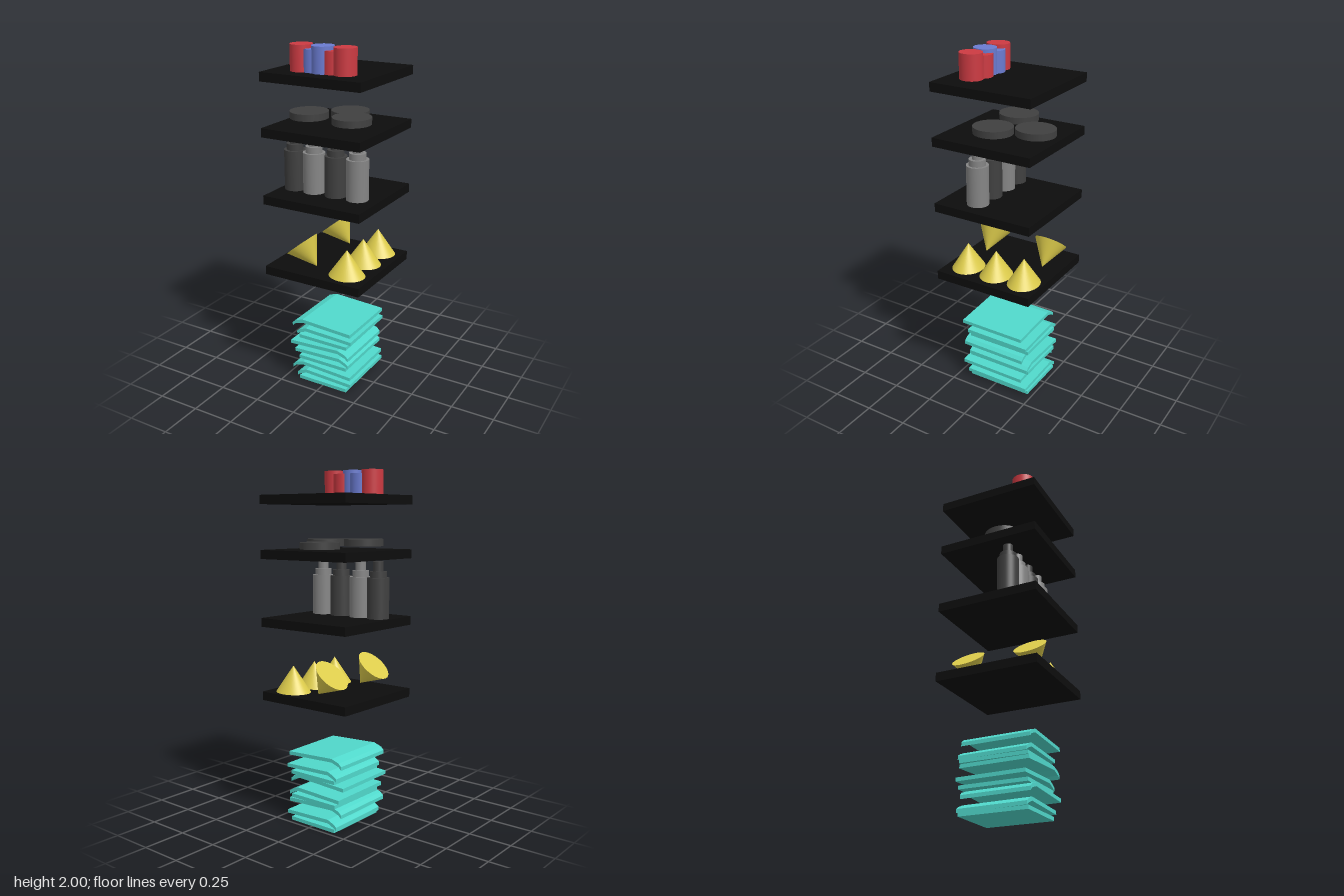
import * as THREE from 'three';

const mat = (name, color) => {
  const m = new THREE.MeshStandardMaterial({ color });
  m.name = name;
  return m;
};

export function createModel() {
  const black = mat('shelfBlack', 0x0d0d0d);
  const red = mat('canRed', 0xcc3a42);
  const blue = mat('canBlue', 0x6a7bd0);
  const dark = mat('darkGrey', 0x404040);
  const grey = mat('lightGrey', 0x858585);
  const yellow = mat('coneYellow', 0xdccb4b);
  const teal = mat('clothTeal', 0x50d8cb);

  const model = new THREE.Group();
  model.name = 'stockedShelves';
  const add = (name, geo, material, x, y, z, parent = model) => {
    const mesh = new THREE.Mesh(geo, material);
    mesh.name = name;
    mesh.position.set(x, y, z);
    parent.add(mesh);
    return mesh;
  };
  // Upright drum with elliptical plan, origin at its base
  const drum = (rx, rz, h) =>
    new THREE.CylinderGeometry(1, 1, h, 48).scale(rx, 1, rz).translate(0, h / 2, 0);

  // Four floating shelves
  const board = new THREE.BoxGeometry(0.6, 0.05, 0.6);
  for (const y of [0.735, 1.157, 1.536, 1.835]) add('shelf', board, black, 0, y, 0);

  // Cans on the top shelf; the rear pair sits slightly lower
  const can = drum(0.06, 0.065, 0.14);
  for (const [x, y, z, m] of [
    [-0.131, 1.86, 0.152, red], [0, 1.86, 0.152, blue], [0.133, 1.86, 0.152, red],
    [-0.061, 1.84, 0.14, blue], [0.057, 1.84, 0.14, red],
  ]) add('can', can, m, x, y, z);

  // Flat tins on the second shelf
  const tin = drum(0.107, 0.112, 0.038);
  for (const [x, y, z] of [[-0.16, 1.584, 0.037], [0.108, 1.58, 0.037], [-0.01, 1.568, -0.157]])
    add('tin', tin, dark, x, y, z);

  // Bottles: body, shoulder and cap
  const body = drum(0.062, 0.062, 0.23);
  const shoulder = drum(0.047, 0.047, 0.035);
  const cap = drum(0.029, 0.029, 0.055);
  [-0.219, -0.096, 0.043, 0.177].forEach((x, i) => {
    const bottle = new THREE.Group();
    bottle.name = 'bottle';
    bottle.position.set(x, 1.18, 0.095);
    const m = i % 2 ? grey : dark;
    add('bottleBody', body, m, 0, 0, 0, bottle);
    add('bottleShoulder', shoulder, m, 0, 0.23, 0, bottle);
    add('bottleCap', cap, m, 0, 0.265, 0, bottle);
    model.add(bottle);
  });

  // Cones: three upright, two tipped onto their points
  const cone = new THREE.ConeGeometry(1, 0.153, 48).scale(0.107, 1, 0.092).translate(0, 0.0765, 0);
  for (const z of [0.178, -0.01, -0.191]) add('uprightCone', cone, yellow, 0.161, 0.758, z);
  for (const z of [0.182, -0.199]) add('tippedCone', cone, yellow, -0.128, 0.892, z).rotation.z = -2.45;

  // Folded cloths: a bent sheet whose side outline is swept through z
  const sheet = (line, t, mirror) => {
    const shape = new THREE.Shape();
    const pts = [...line, ...line.map(([x, y]) => [x, y + t]).reverse()];
    shape.setFromPoints(pts.map(([x, y]) => new THREE.Vector2(mirror ? -x - 0.005 : x, y)));
    return new THREE.ExtrudeGeometry(shape, { depth: 0.4, bevelEnabled: false });
  };
  const folds = [
    { z: -0.22, tilt: 0, line: [[-0.16, 0.002], [0.157, 0.002]] },
    { z: -0.22, tilt: -0.01, line: [[-0.175, 0.017], [-0.155, 0.031], [-0.115, 0.048], [0.187, 0.037]] },
    { z: -0.193, tilt: -0.01, line: [[-0.188, 0.083], [-0.17, 0.1], [-0.12, 0.117], [0.197, 0.101]] },
  ];
  // Three stacks of three, the middle one turned the other way
  for (let i = 0; i < 3; i++)
    for (const { z, tilt, line } of folds)
      add('foldedCloth', sheet(line, 0.021, i === 1), teal, 0, i * 0.14, z).rotation.x = tilt;

  return model;
}
